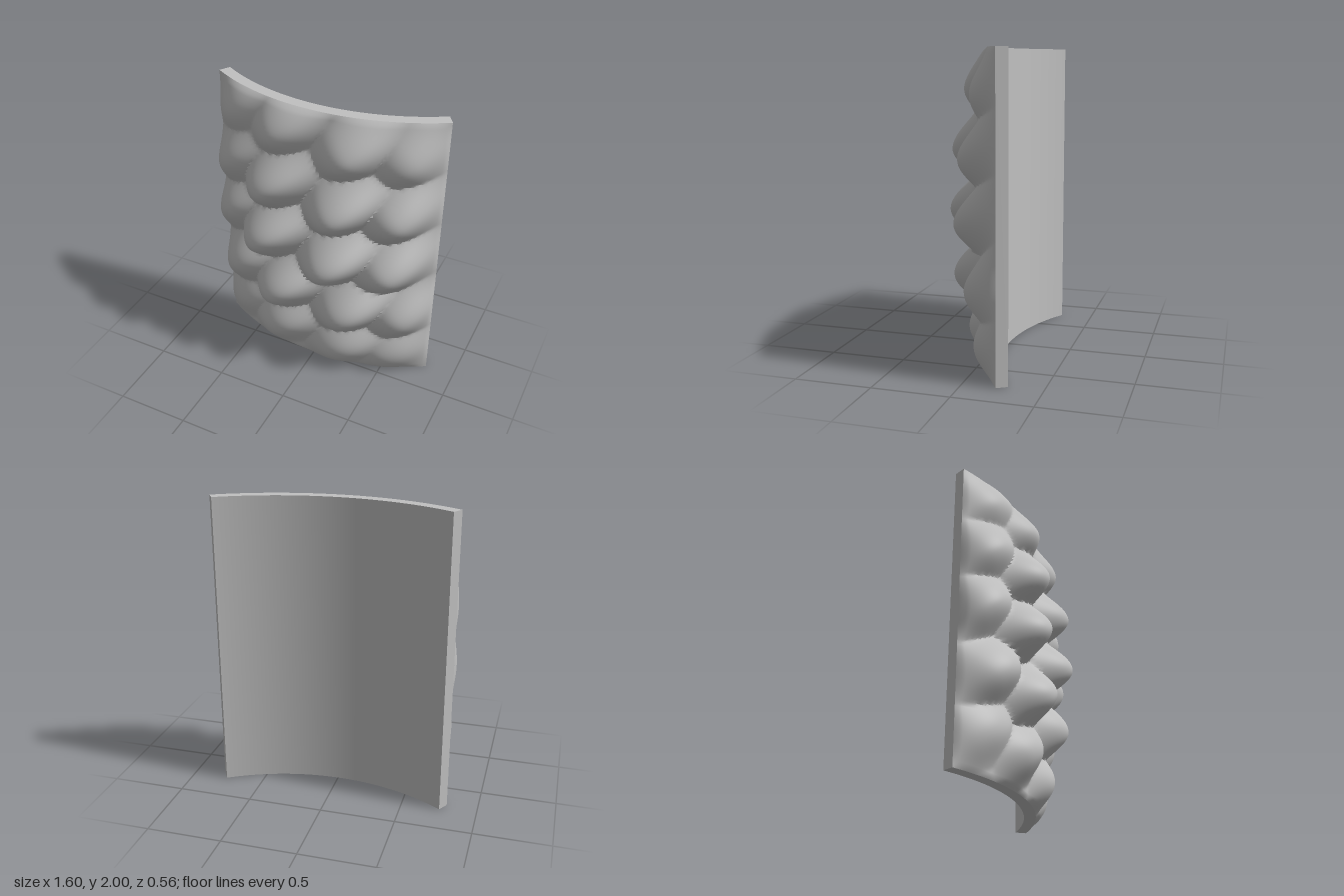
import * as THREE from 'three';
import { toCreasedNormals } from 'three/addons/utils/BufferGeometryUtils.js';

const OUTER = 1.528, INNER = 1.45, HALF = 0.548, CENTRE_Z = -1.518, HEIGHT = 2;
const TILT = 0.68, RELIEF = 0.28, SEGMENTS = 90;

// Lobe centres: four columns, rows shifting sideways in a cycle of three
function lobeCentres() {
  const columns = [[-0.62, 0.06], [-0.21, 0.06], [0.26, 0], [0.63, -0.01]];
  const shift = [0, -0.1, -0.06];
  const lobes = [];
  for (const [x, dy] of columns) {
    for (let row = -2; row <= 4; row++) {
      lobes.push([x + shift[(row + 3) % 3], 0.53 + row * 0.417 + dy]);
    }
  }
  return lobes;
}

// Overlapping slanted bell-shaped lobes, blunt at the lower left and long at the upper right
function relief(x, y, lobes) {
  const c = Math.cos(TILT), s = Math.sin(TILT);
  let h = 0.06;
  for (const [cx, cy] of lobes) {
    const u = (x - cx) * c + (y - cy) * s;
    const v = (y - cy) * c - (x - cx) * s;
    const d = Math.hypot(u / (u < 0 ? 0.4 : 0.56), v / (v < 0 ? 0.27 : 0.32));
    if (d < 1) h = Math.max(h, 0.5 + 0.5 * Math.cos(Math.PI * d));
  }
  return h * RELIEF;
}

export function createModel() {
  const group = new THREE.Group();
  group.name = 'curvedReliefPanel';
  const stone = new THREE.MeshStandardMaterial({ color: 0xc0c0c0 });
  stone.name = 'stone grey';

  // Curved backing plate: arc section extruded upwards
  const mid = Math.PI / 2;
  const section = new THREE.Shape();
  section.absarc(0, 0, OUTER, mid - HALF, mid + HALF, false);
  section.absarc(0, 0, INNER, mid + HALF, mid - HALF, true);
  section.closePath();
  const plateGeo = new THREE.ExtrudeGeometry(section, { depth: HEIGHT, bevelEnabled: false, curveSegments: SEGMENTS / 2 });
  plateGeo.rotateX(Math.PI / 2); // section plane becomes x/z
  plateGeo.translate(0, HEIGHT, CENTRE_Z);
  const plate = new THREE.Mesh(toCreasedNormals(plateGeo, 0.5), stone);
  plate.name = 'backingPlate';
  group.add(plate);

  // Front relief: grid bent round the arc and pushed outwards, fading at the rim
  const lobes = lobeCentres();
  const reliefGeo = new THREE.PlaneGeometry(2 * HALF, HEIGHT, SEGMENTS, 110);
  const pos = reliefGeo.attributes.position;
  for (let i = 0; i < pos.count; i++) {
    const a = pos.getX(i), y = pos.getY(i) + HEIGHT / 2;
    const fadeX = Math.sqrt(Math.max(0, Math.cos((a / HALF) * Math.PI / 2)));
    const fadeY = Math.sqrt(Math.max(0, Math.sin((y / HEIGHT) * Math.PI)));
    const r = OUTER + relief(OUTER * Math.sin(a), y, lobes) * fadeX * fadeY;
    pos.setXYZ(i, r * Math.sin(a), y, CENTRE_Z + r * Math.cos(a));
  }
  const front = new THREE.Mesh(toCreasedNormals(reliefGeo, 0.6), stone);
  front.name = 'lobedRelief';
  group.add(front);

  return group;
}
